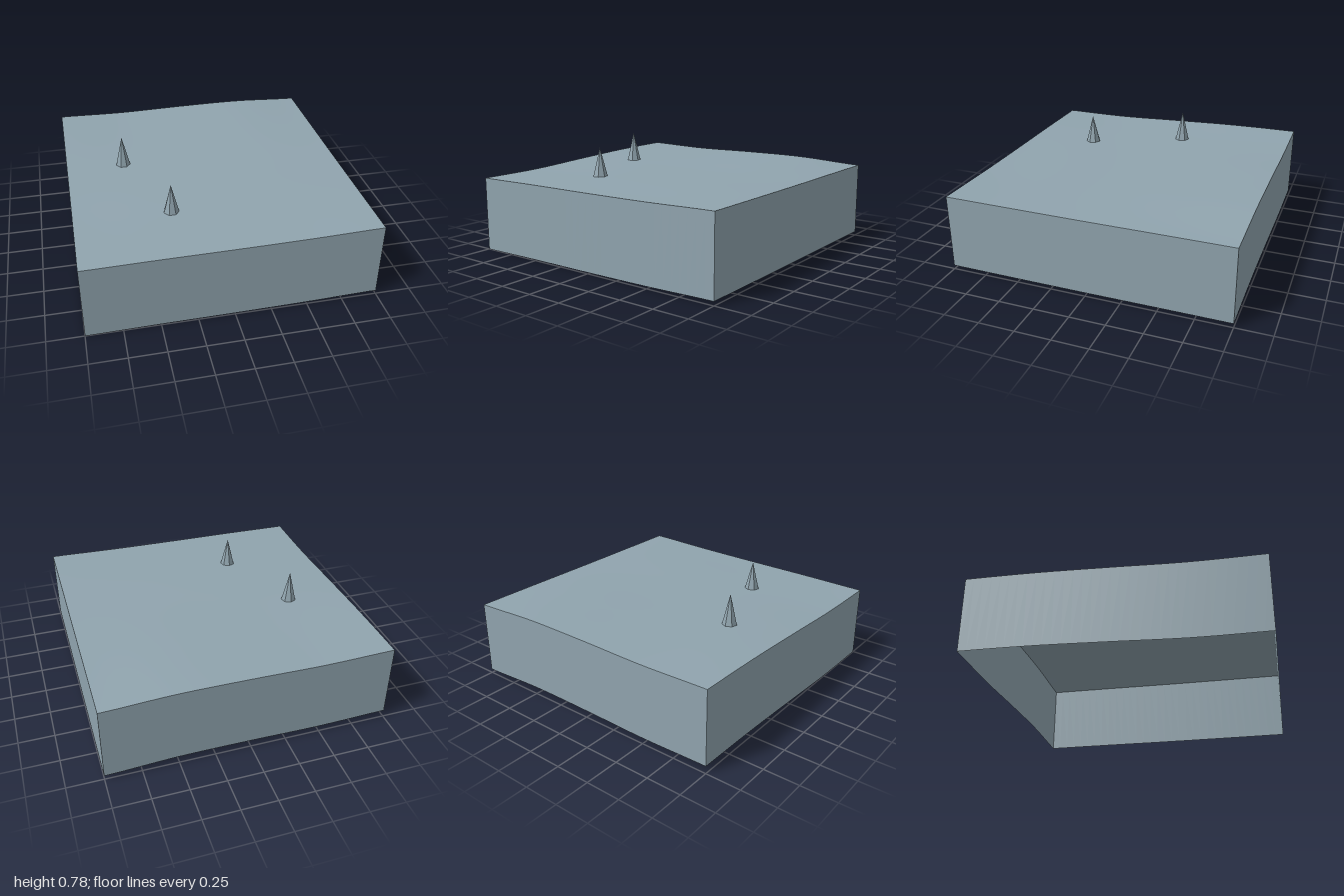
import * as THREE from 'three';

// Terrain heights, rows from back to front, columns from x = -1 to x = 1
const HEIGHTS = [
  [0.588, 0.578, 0.586, 0.587, 0.564],
  [0.580, 0.573, 0.575, 0.576, 0.563],
  [0.560, 0.561, 0.562, 0.563, 0.561],
  [0.538, 0.547, 0.555, 0.559, 0.561],
  [0.535, 0.541, 0.544, 0.550, 0.562],
];
const SKIRT = 0.532;
const SEGMENTS = 32;

// Smooth curve through five evenly spaced values, t from -1 to 1
function spline(values, t) {
  const u = (t + 1) * 2;
  const i = Math.min(3, Math.max(0, Math.floor(u)));
  const f = u - i;
  const at = (k) => values[Math.min(4, Math.max(0, k))];
  const [a, b, c, d] = [at(i - 1), at(i), at(i + 1), at(i + 2)];
  return b + 0.5 * f * (c - a + f * (2 * a - 5 * b + 4 * c - d + f * (3 * (b - c) + d - a)));
}

const heightAt = (x, z) => spline(HEIGHTS.map((row) => spline(row, x)), z);

// Wavy top surface
function groundGeometry() {
  const geometry = new THREE.PlaneGeometry(2, 2, SEGMENTS, SEGMENTS);
  geometry.rotateX(-Math.PI / 2);
  const p = geometry.attributes.position;
  for (let i = 0; i < p.count; i++) p.setY(i, heightAt(p.getX(i), p.getZ(i)));
  geometry.computeVertexNormals();
  return geometry;
}

// One side wall of constant depth that follows the ground's edge
function wallGeometry(angle) {
  const geometry = new THREE.PlaneGeometry(2, 1, SEGMENTS, 1);
  geometry.translate(0, 0, 1);
  geometry.rotateY(angle);
  const p = geometry.attributes.position;
  for (let i = 0; i < p.count; i++) {
    const drop = p.getY(i) > 0 ? 0 : SKIRT;
    p.setY(i, heightAt(p.getX(i), p.getZ(i)) - drop);
  }
  geometry.computeVertexNormals();
  return geometry;
}

export function createModel() {
  const model = new THREE.Group();
  model.name = 'terrainTile';

  const slate = new THREE.MeshStandardMaterial({ color: 0x90a4ae, side: THREE.DoubleSide });
  slate.name = 'slate blue grey';

  function add(name, geometry) {
    const mesh = new THREE.Mesh(geometry, slate);
    mesh.name = name;
    model.add(mesh);
    return mesh;
  }

  add('ground', groundGeometry());
  ['frontWall', 'leftWall', 'backWall', 'rightWall'].forEach((name, i) =>
    add(name, wallGeometry(i * Math.PI / 2)));

  // Seven-sided spikes standing on the ground
  const spikes = [
    [-0.585, -0.17, 0.558, 0.787],
    [-0.335, 0.5, 0.545, 0.757],
  ];
  spikes.forEach(([x, z, bottom, top], i) => {
    const cone = new THREE.ConeGeometry(0.055, top - bottom, 7, 1, false, Math.PI).toNonIndexed();
    cone.computeVertexNormals();
    add('spike' + (i + 1), cone).position.set(x, (bottom + top) / 2, z);
  });

  return model;
}
